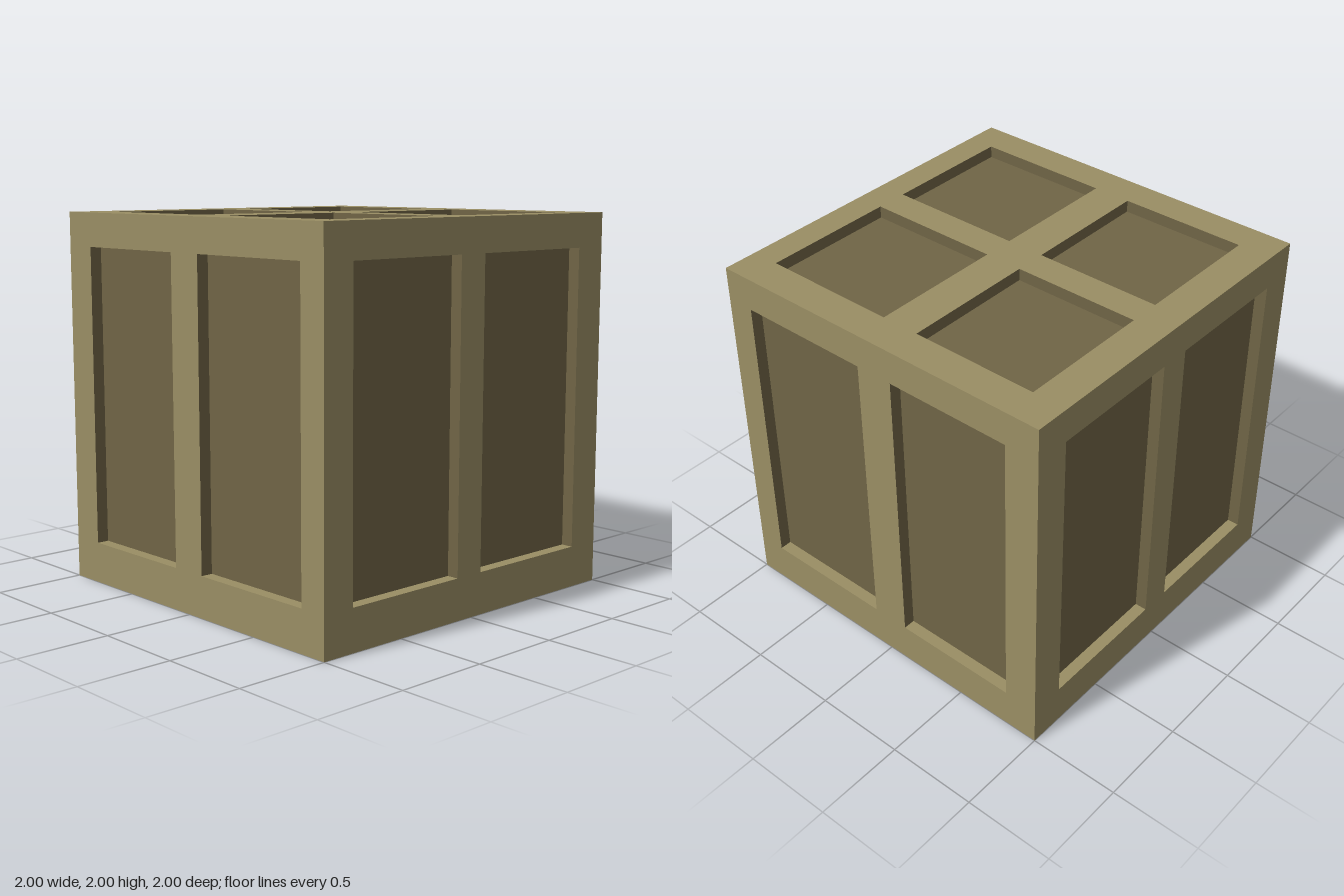
import * as THREE from 'three';

const DEPTH = 0.065; // how far panels sit behind the frame

// opening ranges along each axis
const X = [[-0.82, -0.1], [0.07, 0.81]];
const Y = [[-0.78, 0.82]];
const Z = [[-0.81, -0.11], [0.1, 0.845]];
const flip = (ranges) => ranges.map(([a, b]) => [-b, -a]);

export function createModel() {
  const frameMat = new THREE.MeshStandardMaterial({ color: 0x9a8e64 });
  frameMat.name = 'khaki frame';
  const panelMat = new THREE.MeshStandardMaterial({ color: 0x706546 });
  panelMat.name = 'dark khaki panel';

  const crate = new THREE.Group();
  crate.name = 'crate';

  function add(parent, name, geometry, material) {
    const mesh = new THREE.Mesh(geometry, material);
    mesh.name = name;
    parent.add(mesh);
    return mesh;
  }

  // one side of the crate, built facing +z at distance 1 from the centre
  function makeSide(name, us, vs, rx, ry) {
    const side = new THREE.Group();
    side.name = name;
    side.position.y = 1;
    side.rotation.set(rx, ry, 0);
    crate.add(side);

    const shape = new THREE.Shape();
    shape.moveTo(-1, -1).lineTo(1, -1).lineTo(1, 1).lineTo(-1, 1).closePath();
    for (const [u0, u1] of us) for (const [v0, v1] of vs) {
      const hole = new THREE.Path();
      hole.moveTo(u0, v0).lineTo(u0, v1).lineTo(u1, v1).lineTo(u1, v0).closePath();
      shape.holes.push(hole);

      const w = u1 - u0, h = v1 - v0, cu = (u0 + u1) / 2, cv = (v0 + v1) / 2;
      add(side, 'recessedPanel', new THREE.PlaneGeometry(w, h), panelMat)
        .position.set(cu, cv, 1 - DEPTH);

      // four walls of the recess, facing into the opening
      const z = 1 - DEPTH / 2;
      const ledgeMat = name === 'topSide' ? panelMat : frameMat;
      const bottom = add(side, 'recessLedge', new THREE.PlaneGeometry(w, DEPTH), ledgeMat);
      bottom.position.set(cu, v0, z);
      bottom.rotation.x = -Math.PI / 2;
      const top = add(side, 'recessTop', new THREE.PlaneGeometry(w, DEPTH), panelMat);
      top.position.set(cu, v1, z);
      top.rotation.x = Math.PI / 2;
      const left = add(side, 'recessWall', new THREE.PlaneGeometry(DEPTH, h), panelMat);
      left.position.set(u0, cv, z);
      left.rotation.y = Math.PI / 2;
      const right = add(side, 'recessWall', new THREE.PlaneGeometry(DEPTH, h), panelMat);
      right.position.set(u1, cv, z);
      right.rotation.y = -Math.PI / 2;
    }
    add(side, 'frame', new THREE.ShapeGeometry(shape), frameMat).position.z = 1;
  }

  const q = Math.PI / 2;
  makeSide('frontSide', X, Y, 0, 0);
  makeSide('backSide', flip(X), Y, 0, Math.PI);
  makeSide('leftSide', flip(Z), Y, 0, q);
  makeSide('rightSide', Z, Y, 0, -q);
  makeSide('topSide', X, flip(Z), -q, 0);
  makeSide('bottomSide', [], [], q, 0); // plain, without openings

  return crate;
}
